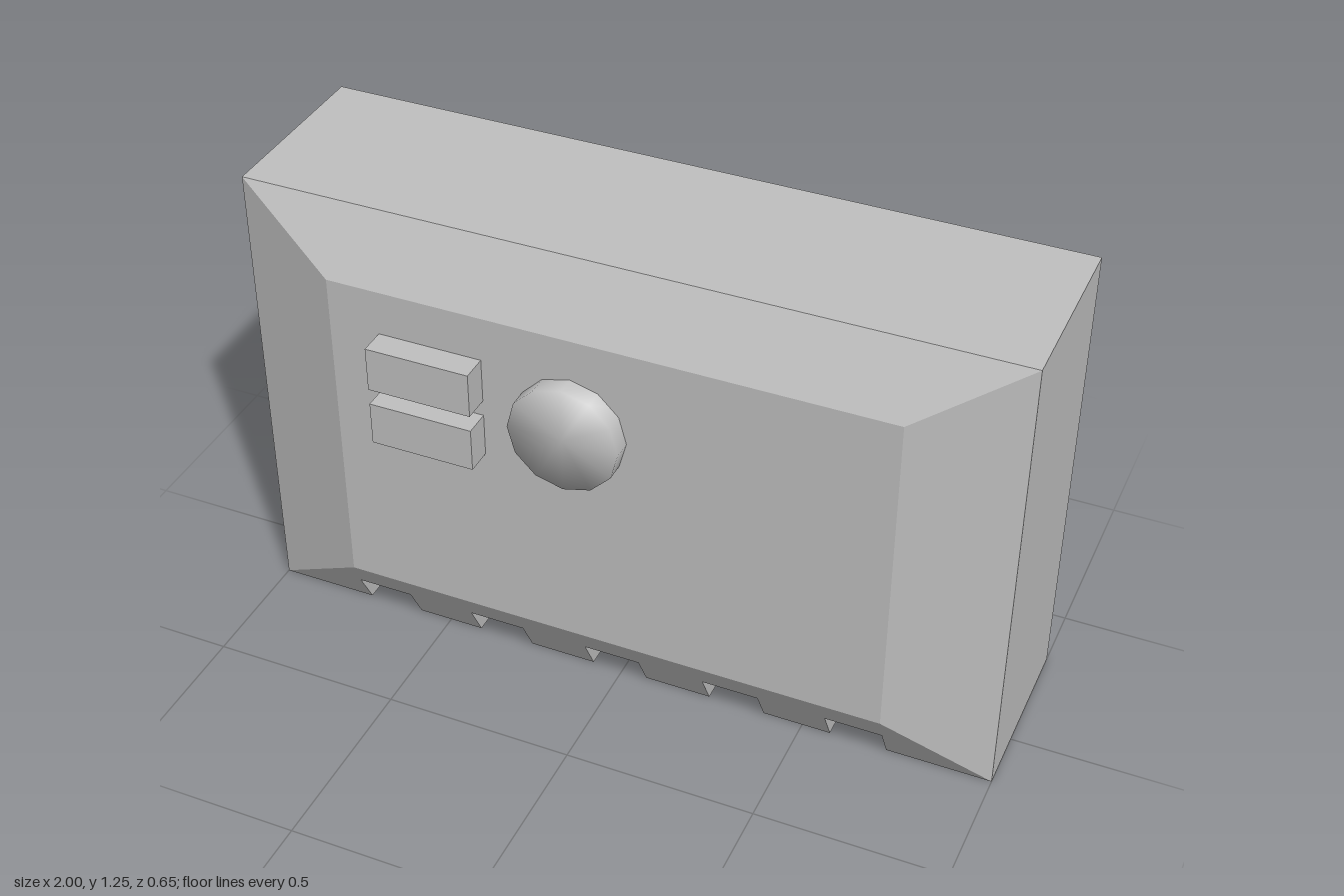
import * as THREE from 'three';
import { mergeGeometries, mergeVertices } from 'three/addons/utils/BufferGeometryUtils.js';

const H = 1.25, BACK = -0.325, RIM = 0.162, FACE = 0.255;
const IN_X = 0.73, IN_LOW = 0.175, IN_HIGH = 1.08;
const NOTCH = { xs: [-0.665, -0.335, -0.007, 0.32, 0.65], half: 0.075, height: 0.095, back: -0.02 };

export function createModel() {
  const grey = new THREE.MeshStandardMaterial({ color: 0xc0c0c0, side: THREE.DoubleSide });
  grey.name = 'light grey';
  const model = new THREE.Group();
  model.name = 'openBackCase';

  const add = (name, geometry, parent = model) => {
    const mesh = new THREE.Mesh(geometry, grey);
    mesh.name = name;
    parent.add(mesh);
    return mesh;
  };

  // Flat four-cornered panel, corners counter-clockwise from its front
  const quad = (...corners) => {
    const g = new THREE.BufferGeometry();
    g.setAttribute('position', new THREE.Float32BufferAttribute(corners.flat(), 3));
    g.setIndex([0, 1, 2, 0, 2, 3]);
    g.computeVertexNormals();
    return g;
  };

  // Flat outline placed in space by a rule
  const panel = (outline, place) => {
    const g = new THREE.ShapeGeometry(new THREE.Shape(outline.map(([a, b]) => new THREE.Vector2(a, b))));
    const p = g.attributes.position;
    for (let i = 0; i < p.count; i++) p.setXYZ(i, ...place(p.getX(i), p.getY(i)));
    g.computeVertexNormals();
    return g;
  };

  // Lower edge from left to right, stepping in at each notch
  const notchedEdge = (edge, step) => [
    [-1, edge],
    ...NOTCH.xs.flatMap((x) => {
      const l = x - NOTCH.half, r = x + NOTCH.half;
      return [[l, edge], [l, step], [r, step], [r, edge]];
    }),
    [1, edge],
  ];
  const bevelZ = (y) => RIM + (y / IN_LOW) * (FACE - RIM);

  // Outer walls, open at the back
  for (const s of [-1, 1]) {
    const side = [[s, 0, RIM], [s, 0, BACK], [s, H, BACK], [s, H, RIM]];
    const bevel = [[s * IN_X, IN_LOW, FACE], [s, 0, RIM], [s, H, RIM], [s * IN_X, IN_HIGH, FACE]];
    if (s < 0) { side.reverse(); bevel.reverse(); }
    add(s > 0 ? 'leftWall' : 'rightWall', quad(...side));
    add(s > 0 ? 'leftBevel' : 'rightBevel', quad(...bevel));
  }
  add('topWall', quad([-1, H, RIM], [1, H, RIM], [1, H, BACK], [-1, H, BACK]));
  add('topBevel', quad([-IN_X, IN_HIGH, FACE], [IN_X, IN_HIGH, FACE], [1, H, RIM], [-1, H, RIM]));
  add('frontPanel', quad([-IN_X, IN_LOW, FACE], [IN_X, IN_LOW, FACE], [IN_X, IN_HIGH, FACE], [-IN_X, IN_HIGH, FACE]));

  // Bottom bevel and floor with the notches cut out
  add('bottomBevel', panel(
    [...notchedEdge(0, NOTCH.height), [IN_X, IN_LOW], [-IN_X, IN_LOW]],
    (x, y) => [x, y, bevelZ(y)]));
  add('floor', panel(
    [...notchedEdge(-RIM, -NOTCH.back), [1, -BACK], [-1, -BACK]],
    (x, b) => [x, 0, -b]).scale(1, 1, 1));

  // Pockets behind the notches, open below and in front
  const h = NOTCH.height, w = NOTCH.half, zb = NOTCH.back, zt = bevelZ(h);
  for (const x of NOTCH.xs) {
    const pocket = new THREE.Group();
    pocket.name = 'ventPocket';
    pocket.position.x = x;
    add('pocketBack', quad([-w, 0, zb], [w, 0, zb], [w, h, zb], [-w, h, zb]), pocket);
    add('pocketTop', quad([-w, h, zb], [w, h, zb], [w, h, zt], [-w, h, zt]), pocket);
    add('pocketSide', quad([-w, 0, RIM], [-w, 0, zb], [-w, h, zb], [-w, h, zt]), pocket);
    add('pocketSide', quad([w, 0, zb], [w, 0, RIM], [w, h, zt], [w, h, zb]), pocket);
    model.add(pocket);
  }

  // Buttons: hollow caps that pass through the front panel
  const x0 = -0.595, x1 = -0.32, z0 = 0.23, z1 = 0.325;
  for (const [y0, y1] of [[0.68, 0.797], [0.84, 0.96]]) {
    const c = [[x0, y0], [x1, y0], [x1, y1], [x0, y1]];
    const faces = c.map((a, i) => {
      const b = c[(i + 1) % 4];
      return quad([...a, z0], [...b, z0], [...b, z1], [...a, z1]);
    });
    faces.push(quad(...c.map((a) => [...a, z1])));
    add('button', mergeGeometries(faces));
  }

  // Round knob: hollow twelve-sided cap with soft shading
  const r = 0.145, kBack = 0.212, kFront = 0.305;
  const wall = new THREE.CylinderGeometry(r, r, kFront - kBack, 12, 1, true)
    .rotateX(Math.PI / 2).translate(0, 0, (kBack + kFront) / 2);
  const cap = new THREE.CircleGeometry(r, 12).translate(0, 0, kFront);
  for (const g of [wall, cap]) {
    g.deleteAttribute('uv');
    g.deleteAttribute('normal');
  }
  const knob = mergeVertices(mergeGeometries([wall, cap]), 1e-4);
  knob.computeVertexNormals();
  add('knob', knob).position.set(-0.087, 0.825, 0);

  return model;
}
